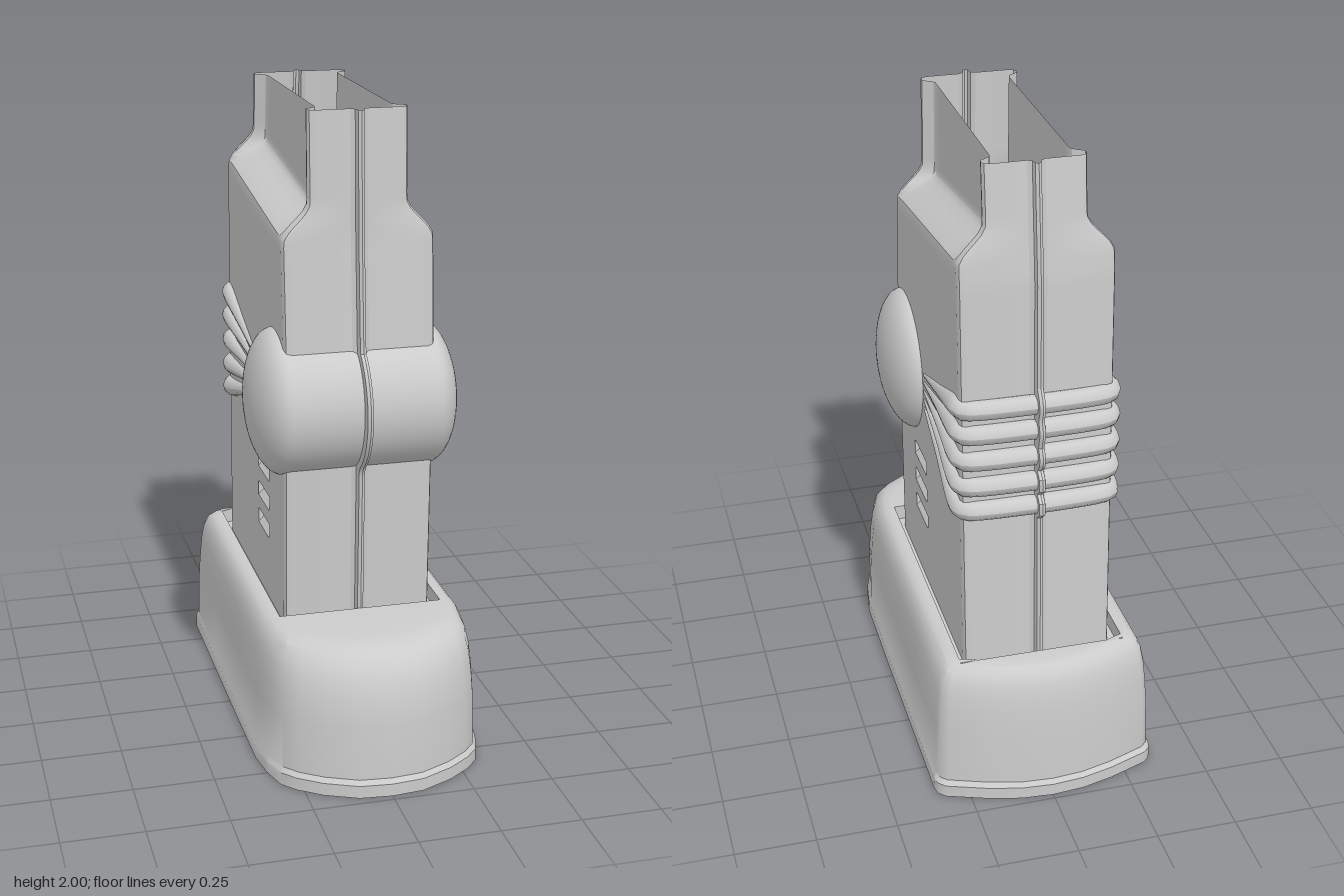
import * as THREE from 'three';
import { toCreasedNormals } from 'three/addons/utils/BufferGeometryUtils.js';

const grey = new THREE.MeshStandardMaterial({ color: 0xcccccc, side: THREE.DoubleSide });
const { lerp, clamp, smoothstep } = THREE.MathUtils;

// Piecewise linear value from [position, value] pairs
function along(table, p) {
  for (let i = 1; i < table.length; i++) {
    const [a, va] = table[i - 1], [b, vb] = table[i];
    if (p <= b) return lerp(va, vb, clamp((p - a) / (b - a), 0, 1));
  }
  return table[table.length - 1][1];
}

// Skin closed rings of [x, y, z] points, listed front -> left -> back -> right
function loft(rings, crease) {
  const n = rings[0].length, index = [];
  for (let i = 0; i < rings.length - 1; i++) {
    for (let j = 0; j < n; j++) {
      const a = i * n + j, b = i * n + (j + 1) % n;
      index.push(a, b, b + n, a, b + n, a + n);
    }
  }
  const geo = new THREE.BufferGeometry();
  geo.setAttribute('position', new THREE.Float32BufferAttribute(rings.flat(2), 3));
  geo.setIndex(index);
  return toCreasedNormals(geo, crease);
}

// Complete a half ring (front centre to back centre) by mirroring in x
const mirrorRing = half => [...half, ...half.slice(1, -1).reverse().map(([x, y, z]) => [-x, y, z])];

function add(group, name, geo) {
  const mesh = new THREE.Mesh(geo, grey);
  mesh.name = name;
  group.add(mesh);
  return mesh;
}

// Front and back wall positions of the shaft by height
const frontZ = y => along([[0.4, 0.315], [1.25, 0.34], [1.62, 0.315], [2, 0.303]], y);
const backZ = y => along([[0.4, -0.537], [1.65, -0.498], [2, -0.46]], y);

const HUB = { y: 1.1, z: 0.2, r: 0.228 };
const RIB_Y = [0.94, 1.02, 1.105, 1.19, 1.27];
const SLOTS = [[0.605, 0.65], [0.7, 0.745], [0.8, 0.845]];

// Rounded foot with a bottom lip and a shallow socket for the shaft
function footGeometry() {
  const outline = [[0, 0.73], [0.1, 0.72], [0.2, 0.675], [0.27, 0.625], [0.31, 0.58], [0.335, 0.5],
    [0.35, 0.4], [0.352, 0.1], [0.352, -0.3], [0.352, -0.61], [0.345, -0.635], [0.325, -0.655],
    [0.2, -0.7], [0.1, -0.725], [0, -0.733]];
  // height, x scale, front scale, back scale
  const levels = [[0, 0, 0, 0], [0, 1, 1, 1], [0.04, 1, 1, 1], [0.055, 0.975, 0.985, 0.985],
    [0.22, 0.965, 0.982, 0.98], [0.3, 0.95, 0.97, 0.972], [0.36, 0.935, 0.945, 0.963],
    [0.4, 0.915, 0.915, 0.95], [0.43, 0.88, 0.87, 0.932], [0.445, 0.84, 0.82, 0.905], [0.45, 0.79, 0.76, 0.87]];
  const rings = levels.map(([y, kx, kf, kb]) =>
    mirrorRing(outline.map(([x, z]) => [x * kx, y, z * (z > 0 ? kf : kb)])));
  const socket = (y, k) => mirrorRing(outline.map(([x, z]) =>
    [k * Math.min(x, 0.258), y, k * clamp(z, -0.59, 0.35)]));
  rings.push(socket(0.45, 1), socket(0.4, 1), socket(0.4, 0));
  return loft(rings, 0.6);
}

// Hollow shaft: ridged ends, slanted shoulders, waisted neck and louvre slots
function shaftGeometry() {
  const cols = [0.025, 0.04, 0.07, 0.085, 0.16, 0.263, 0.27, 0.444, 0.451, 0.55, 0.65, 0.75, 0.85, 0.915, 0.93, 0.96, 0.975];
  const levels = [1.62, 1.69, 1.72];
  for (let i = 0; i <= 81; i++) levels.push(0.38 + i * 0.02);
  SLOTS.forEach(([a, b]) => levels.push(a, b, b + 0.004));
  levels.sort((a, b) => a - b);

  // Levels tilt upward to the back around the shoulder
  const height = (v, t) => v + 0.1 * t * along([[1.3, 0], [1.6, 1], [1.74, 1], [2, 0]], v);
  const width = (v, t) => {
    const flange = smoothstep(Math.min(t, 1 - t), 0.035, 0.08);
    const neck = lerp(0.152, 0.115, flange);
    let w = lerp(0.233, neck, smoothstep(v, 1.61, lerp(1.73, 1.7, flange)));
    if (t > 0.266 && t < 0.448) {
      for (const [a, b] of SLOTS) if (v >= a && v <= b) w -= 0.035 * (v - a) / (b - a);
    }
    return w;
  };
  const rings = levels.map(v => {
    const half = [];
    const end = (t, z, dir, ridge) => {
      const y = height(v, t), w = width(v, t);
      return [[0, y, ridge], [0.009, y, ridge - dir * 0.006], [0.013, y, z + dir * 0.008],
        [0.026, y, z], [w - 0.022, y, z], [w - 0.006, y, z - dir * 0.006]];
    };
    // Front ridge climbs over the hub
    const d = HUB.r ** 2 - (v - HUB.y) ** 2;
    const zf = frontZ(v), zb = backZ(height(v, 1));
    const swell = d > 0 ? HUB.z + Math.sqrt(d) : 0;
    half.push(...end(0, zf, 1, Math.max(zf, swell) + 0.035));
    for (const t of cols) {
      const y = height(v, t);
      half.push([width(v, t), y, lerp(frontZ(y), backZ(y), t)]);
    }
    // Back ridge ripples over the ribs
    const ripple = Math.max(0, ...RIB_Y.map(r => 1 - ((v - r) / 0.04) ** 2));
    half.push(...end(1, zb, -1, zb - 0.03 - 0.027 * Math.sqrt(ripple)).reverse());
    return mirrorRing(half);
  });
  return loft(rings, 0.5);
}

// Cross cylinder with domed ends
function hubGeometry() {
  const profile = [];
  const N = 12;
  for (let i = 0; i <= N; i++) {
    const a = (i / N) * Math.PI / 2;
    profile.push(new THREE.Vector2(HUB.r * Math.sin(a), -0.225 - 0.1 * Math.cos(a)));
  }
  const far = profile.map(p => new THREE.Vector2(p.x, -p.y)).reverse();
  return new THREE.LatheGeometry([...profile, ...far], 48).rotateZ(Math.PI / 2);
}

// Rib that swells from the hub, wraps the back and tapers on the other side
function ribGeometry(y) {
  const tip = HUB.y + (y - HUB.y) * 0.35, zb = backZ(y);
  const half = [[0.23, tip, -0.05], [0.23, lerp(tip, y, 0.5), -0.26], [0.231, y, zb + 0.045],
    [0.222, y, zb + 0.012], [0.19, y, zb]];
  const pts = [...half, ...half.map(([x, py, z]) => [-x, py, z]).reverse()];
  const path = new THREE.CatmullRomCurve3(pts.map(p => new THREE.Vector3(...p)), false, 'centripetal');
  const steps = 80, sides = 12;
  const geo = new THREE.TubeGeometry(path, steps, 1, sides);
  const pos = geo.attributes.position, v = new THREE.Vector3();
  for (let i = 0; i <= steps; i++) {
    const c = path.getPointAt(i / steps);
    const r = lerp(0.007, 0.031, clamp((-0.05 - c.z) / 0.42, 0, 1));
    for (let j = 0; j <= sides; j++) {
      const k = i * (sides + 1) + j;
      v.fromBufferAttribute(pos, k).sub(c).multiplyScalar(r).add(c);
      pos.setXYZ(k, v.x, v.y, v.z);
    }
  }
  geo.computeVertexNormals();
  return geo;
}

export function createModel() {
  const model = new THREE.Group();
  model.name = 'shaftOnFoot';
  add(model, 'foot', footGeometry());
  add(model, 'shaft', shaftGeometry());
  add(model, 'hub', hubGeometry()).position.set(0, HUB.y, HUB.z);
  const ribs = new THREE.Group();
  ribs.name = 'ribs';
  RIB_Y.forEach((y, i) => add(ribs, `rib${i + 1}`, ribGeometry(y)));
  model.add(ribs);
  return model;
}
